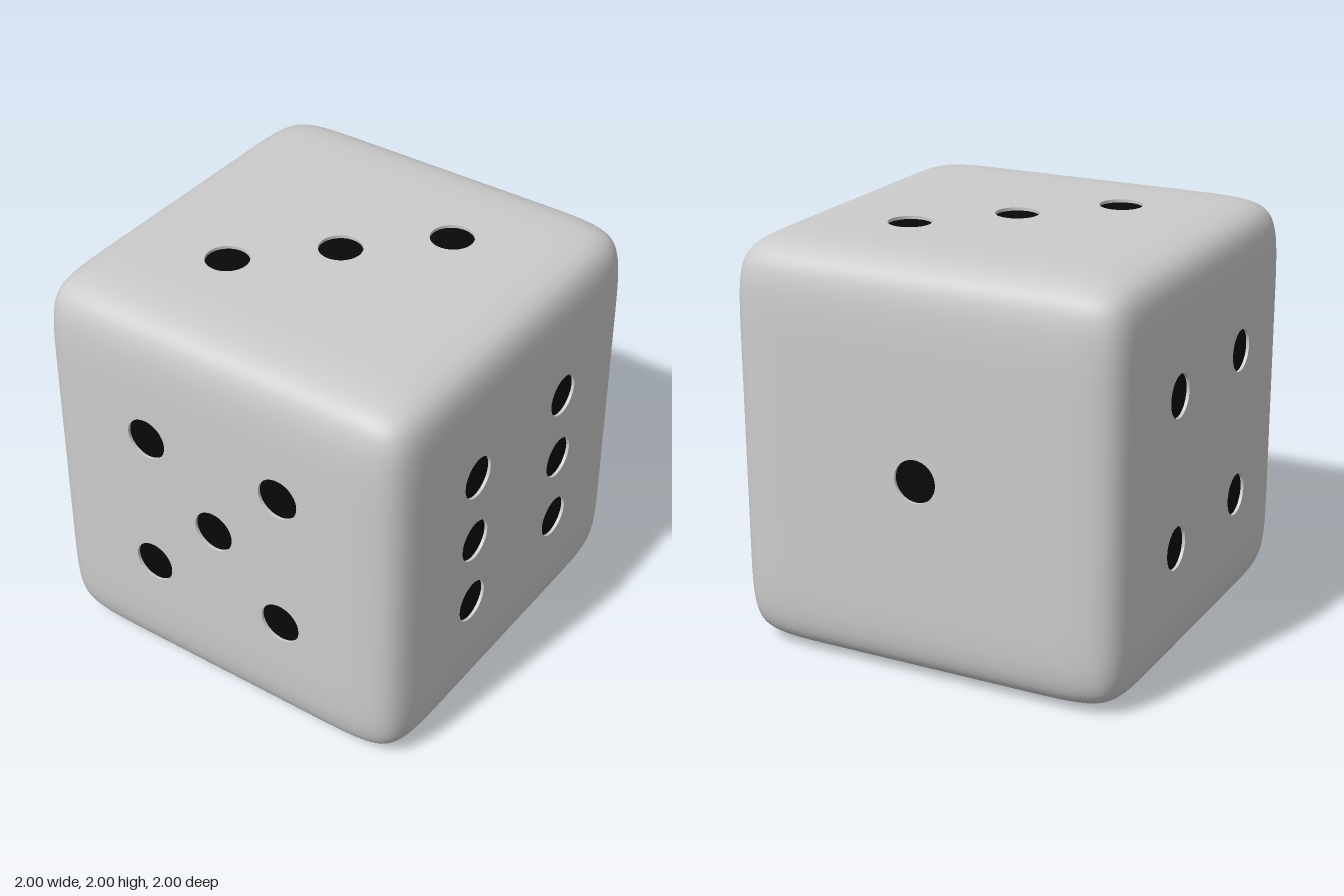
import * as THREE from 'three';

const LOOP = 0.62;        // position of the edge loops that hold the rounding
const GRID = [-1, -LOOP, LOOP, 1];
const SPACING = 0.367, PIP_R = 0.104, DEPTH = 0.015;
const Q = Math.PI / 2;

// Each side: its rotation from +z and its pips in grid steps
const diagonal = [[-1, 1], [1, -1]];
const corners = [...diagonal, [-1, -1], [1, 1]];
const SIDES = [
  { name: 'front', rot: [0, 0, 0], pips: [...corners, [-1, 0], [1, 0]] },
  { name: 'back', rot: [0, 2 * Q, 0], pips: corners },
  { name: 'plusX', rot: [0, Q, 0], pips: [[0, 0]] },
  { name: 'minusX', rot: [0, -Q, 0], pips: [...corners, [0, 0]] },
  { name: 'top', rot: [-Q, 0, 0], pips: [...diagonal, [0, 0]] },
  { name: 'bottom', rot: [Q, 0, 0], pips: diagonal },
];

// Cube cage of 3 x 3 quads per side; the middle quad of each side is flagged
function makeCage() {
  const verts = [], quads = [], lookup = new Map();
  for (const side of SIDES) {
    const rot = new THREE.Euler(...side.rot);
    const id = (i, j) => {
      const p = new THREE.Vector3(GRID[i], GRID[j], 1).applyEuler(rot);
      const key = p.toArray().map((c) => Math.round(c * 100)).join();
      if (!lookup.has(key)) lookup.set(key, verts.push(p) - 1);
      return lookup.get(key);
    };
    for (let i = 0; i < 3; i++) for (let j = 0; j < 3; j++) {
      quads.push({ v: [id(i, j), id(i + 1, j), id(i + 1, j + 1), id(i, j + 1)], mid: i === 1 && j === 1 });
    }
  }
  return { verts, quads };
}

// One round of Catmull-Clark smoothing on a closed quad mesh
function subdivide({ verts, quads }) {
  const out = verts.map(() => new THREE.Vector3());
  const sums = verts.map(() => ({ n: 0, f: new THREE.Vector3(), e: new THREE.Vector3() }));
  const edges = new Map(), result = [];
  const edgeKey = (a, b) => Math.min(a, b) * 1e6 + Math.max(a, b);
  const centres = quads.map(({ v }) => {
    const c = new THREE.Vector3();
    v.forEach((a) => c.addScaledVector(verts[a], 0.25));
    v.forEach((a, k) => {
      const b = v[(k + 1) % 4], key = edgeKey(a, b);
      sums[a].n++;
      sums[a].f.add(c);
      if (!edges.has(key)) edges.set(key, { a, b, f: new THREE.Vector3() });
      edges.get(key).f.add(c);
    });
    return out.push(c) - 1;
  });
  for (const edge of edges.values()) {
    const ends = verts[edge.a].clone().add(verts[edge.b]);
    sums[edge.a].e.addScaledVector(ends, 0.5);
    sums[edge.b].e.addScaledVector(ends, 0.5);
    edge.id = out.push(ends.add(edge.f).multiplyScalar(0.25)) - 1;
  }
  verts.forEach((p, i) => {
    const { n, f, e } = sums[i];
    out[i].copy(p).multiplyScalar((n - 3) / n).addScaledVector(f, 1 / n ** 2).addScaledVector(e, 2 / n ** 2);
  });
  quads.forEach(({ v, mid }, q) => v.forEach((a, k) => {
    const next = edges.get(edgeKey(a, v[(k + 1) % 4])).id;
    const prev = edges.get(edgeKey(a, v[(k + 3) % 4])).id;
    result.push({ v: [a, next, centres[q], prev], mid });
  }));
  return { verts: out, quads: result };
}

export function createModel() {
  const model = new THREE.Group();
  model.name = 'die';
  const grey = new THREE.MeshStandardMaterial({ color: 0xcccccc });
  const wallGrey = new THREE.MeshStandardMaterial({ color: 0xcccccc, side: THREE.DoubleSide });
  const black = new THREE.MeshStandardMaterial({ color: 0x080808 });

  // Rounded body, open where the flat side panels go
  let mesh = makeCage();
  for (let k = 0; k < 4; k++) mesh = subdivide(mesh);
  const index = [];
  let half = 0;
  for (const { v: [a, b, c, d], mid } of mesh.quads) {
    if (!mid) index.push(a, b, c, a, c, d);
    else if (mesh.verts[a].z > 0.999) half = Math.max(half, mesh.verts[a].x, mesh.verts[b].x, mesh.verts[c].x, mesh.verts[d].x);
  }
  const bodyGeometry = new THREE.BufferGeometry().setFromPoints(mesh.verts);
  bodyGeometry.setIndex(index);
  bodyGeometry.computeVertexNormals();
  const body = new THREE.Mesh(bodyGeometry, grey);
  body.name = 'roundedBody';
  body.position.y = 1;
  model.add(body);

  // Flat panels with shallow round recesses and black pips
  const floor = new THREE.CircleGeometry(PIP_R, 48);
  const wall = new THREE.CylinderGeometry(PIP_R, PIP_R, DEPTH, 48, 1, true).rotateX(Q);
  for (const { name, rot, pips } of SIDES) {
    const side = new THREE.Group();
    side.name = name + 'Side';
    side.position.y = 1;
    side.rotation.set(...rot);
    const shape = new THREE.Shape([[-half, -half], [half, -half], [half, half], [-half, half]].map((p) => new THREE.Vector2(...p)));
    pips.forEach(([i, j]) => {
      const x = i * SPACING, y = j * SPACING;
      shape.holes.push(new THREE.Path().absarc(x, y, PIP_R, 0, 2 * Math.PI, true));
      const pip = new THREE.Mesh(floor, black);
      pip.name = 'pip';
      pip.position.set(x, y, 1 - DEPTH);
      const rim = new THREE.Mesh(wall, wallGrey);
      rim.name = 'pipWall';
      rim.position.set(x, y, 1 - DEPTH / 2);
      side.add(pip, rim);
    });
    const panel = new THREE.Mesh(new THREE.ShapeGeometry(shape, 24), grey);
    panel.name = 'panel';
    panel.position.z = 1;
    side.add(panel);
    model.add(side);
  }
  return model;
}
